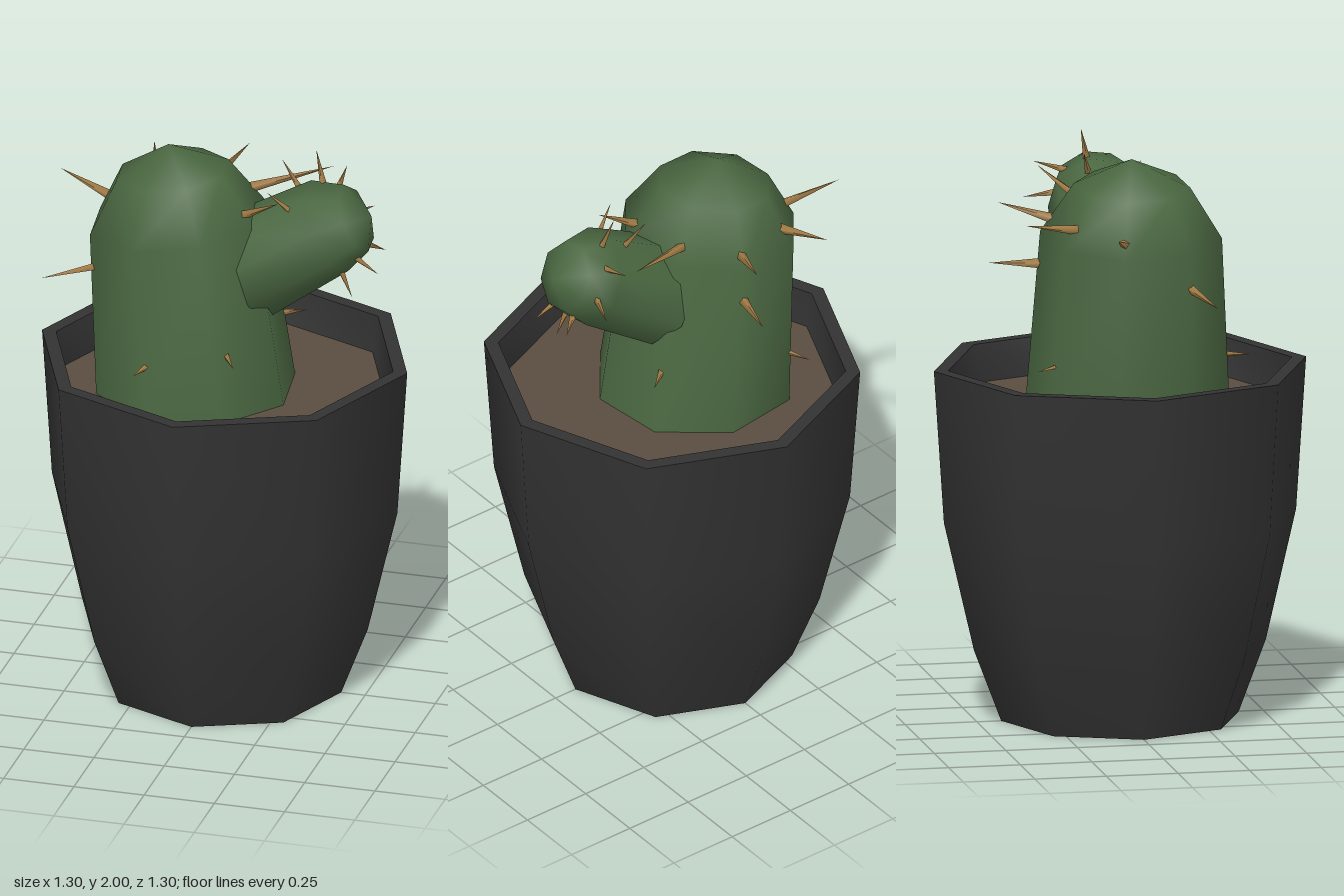
import * as THREE from 'three';
import { mergeVertices, toCreasedNormals } from 'three/addons/utils/BufferGeometryUtils.js';

const SIDES = 8;

function addMesh(parent, name, geometry, material) {
  const mesh = new THREE.Mesh(geometry, material);
  mesh.name = name;
  parent.add(mesh);
  return mesh;
}

// Smooth skin over octagonal rings [x, y, z, radius, tilt about z]
function loft(rings, phase) {
  const pos = [], index = [];
  for (const [x, y, z, r, tilt] of rings) {
    for (let i = 0; i < SIDES; i++) {
      const a = phase + (i / SIDES) * Math.PI * 2;
      const c = r * Math.cos(a);
      pos.push(x + c * Math.cos(tilt), y + c * Math.sin(tilt), z + r * Math.sin(a));
    }
  }
  for (let k = 0; k < rings.length - 1; k++) {
    for (let i = 0; i < SIDES; i++) {
      const a = k * SIDES + i, b = k * SIDES + (i + 1) % SIDES;
      index.push(a, a + SIDES, b, b, a + SIDES, b + SIDES);
    }
  }
  let geo = new THREE.BufferGeometry();
  geo.setAttribute('position', new THREE.Float32BufferAttribute(pos, 3));
  geo.setIndex(index);
  geo = mergeVertices(geo);
  geo.computeVertexNormals();
  return geo;
}

// Thin four-sided thorn from base point to tip point
function addSpine(parent, name, [bx, by, bz, tx, ty, tz], radius, material) {
  const base = new THREE.Vector3(bx, by, bz);
  const dir = new THREE.Vector3(tx, ty, tz).sub(base);
  const sunk = 0.02;
  const length = dir.length() + sunk;
  dir.normalize();
  const geo = new THREE.ConeGeometry(radius, length, 4);
  geo.translate(0, length / 2 - sunk, 0);
  const spine = addMesh(parent, name, geo, material);
  spine.position.copy(base);
  spine.quaternion.setFromUnitVectors(new THREE.Vector3(0, 1, 0), dir);
}

export function createModel() {
  const model = new THREE.Group();
  model.name = 'pottedCactus';
  const potMat = new THREE.MeshStandardMaterial({ color: 0x333334 });
  const soilMat = new THREE.MeshStandardMaterial({ color: 0x5a4d40 });
  const greenMat = new THREE.MeshStandardMaterial({ color: 0x4a6741 });
  const spineMat = new THREE.MeshStandardMaterial({ color: 0xa88048 });

  // Pot with wall thickness at the rim
  const profile = [
    [0, 0], [0.415, 0], [0.51, 0.25], [0.615, 0.7], [0.65, 1.23], [0.6, 1.23], [0.577, 1.09],
  ].map(([r, y]) => new THREE.Vector2(r, y));
  addMesh(model, 'pot', toCreasedNormals(new THREE.LatheGeometry(profile, SIDES), 0.95), potMat);

  // Soil
  const soil = addMesh(model, 'soil', new THREE.CircleGeometry(0.58, SIDES), soilMat);
  soil.rotation.x = -Math.PI / 2;
  soil.position.y = 1.1;

  // Main stem, leaning slightly
  addMesh(model, 'stem', loft([
    [-0.1, 1.08, 0.005, 0.352, 0],
    [-0.165, 1.715, 0.005, 0.312, 0.115],
    [-0.185, 1.89, 0.005, 0.2, 0.115],
    [-0.2, 1.985, 0, 0, 0.115],
  ], Math.PI / 12), greenMat);

  // Side arm growing out and up
  addMesh(model, 'arm', loft([
    [0.08, 1.56, -0.01, 0.19, -1.0],
    [0.37, 1.745, -0.01, 0.168, -1.08],
    [0.465, 1.785, -0.01, 0.122, -1.12],
    [0.52, 1.8, -0.01, 0, -1.1],
  ], 0.25), greenMat);

  // Spines, each as base then tip
  const stemSpines = [
    [-0.43, 1.735, -0.07, -0.62, 1.785, -0.13],
    [-0.41, 1.57, 0.16, -0.59, 1.53, 0.225],
    [-0.1, 1.77, -0.26, -0.035, 1.82, -0.435],
    [-0.08, 1.61, -0.3, -0.04, 1.61, -0.465],
    [-0.31, 1.77, -0.23, -0.365, 1.8, -0.4],
    [0.06, 1.8, -0.13, 0.325, 1.87, -0.225],
    [0.09, 1.79, 0.08, 0.225, 1.865, 0.12],
  ];
  const lowSpines = [
    [-0.28, 1.29, -0.27, -0.325, 1.28, -0.355],
    [-0.19, 1.29, 0.33, -0.21, 1.29, 0.415],
    [0.08, 1.33, 0.25, 0.13, 1.33, 0.345],
    [0.17, 1.33, -0.16, 0.235, 1.325, -0.21],
  ];
  const armSpines = [
    [0.335, 1.89, -0.05, 0.305, 1.995, -0.075],
    [0.25, 1.85, -0.06, 0.18, 1.935, -0.09],
    [0.25, 1.83, 0.08, 0.18, 1.9, 0.11],
    [0.37, 1.84, -0.12, 0.37, 1.875, -0.23],
    [0.43, 1.75, -0.14, 0.465, 1.73, -0.245],
    [0.49, 1.65, 0.035, 0.56, 1.61, 0.045],
    [0.43, 1.59, 0.035, 0.465, 1.51, 0.04],
    [0.49, 1.66, -0.08, 0.54, 1.63, -0.115],
  ];
  const spines = new THREE.Group();
  spines.name = 'spines';
  model.add(spines);
  stemSpines.forEach((s) => addSpine(spines, 'stemSpine', s, 0.019, spineMat));
  lowSpines.forEach((s) => addSpine(spines, 'lowSpine', s, 0.013, spineMat));
  armSpines.forEach((s) => addSpine(spines, 'armSpine', s, 0.014, spineMat));

  return model;
}
